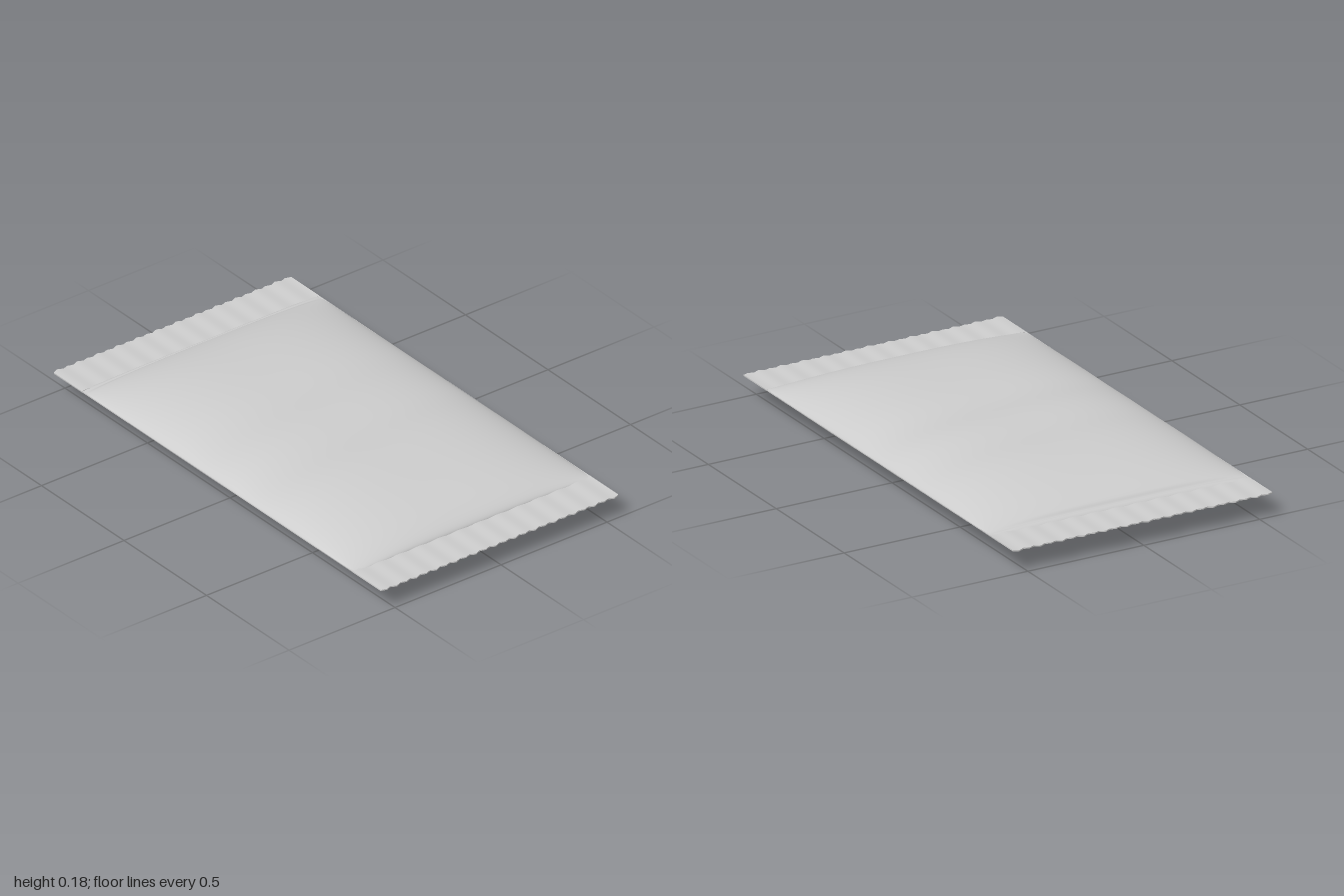
import * as THREE from 'three';

const HALF_W = 0.56, BODY = 0.83, MID = 0.097;
const bump = (v, centre, width) => Math.exp(-(((v - centre) / width) ** 2));

// Half thickness of the filled pouch at x, z
function puff(x, z) {
  const across = Math.max(0, 1 - Math.abs(x / HALF_W) ** 3) ** 0.7;
  const along = Math.max(0, 1 - Math.abs(z / BODY) ** 4) ** (z > 0 ? 0.6 : 0.75);
  const d = z + 0.12 * x; // wrinkles run slightly askew
  const dips = 0.013 * bump(d, 0.13, 0.12) + 0.009 * bump(d, -0.2, 0.12);
  const crease = 0.007 * bump(z, -0.805, 0.008);
  return Math.max(0, 0.094 * along - dips - crease) * across;
}

// One smooth, pillowed face of the pouch
function pouchFace(side) {
  const geo = new THREE.PlaneGeometry(2, 2, 64, 160);
  geo.rotateX(-side * Math.PI / 2);
  const p = geo.attributes.position;
  for (let i = 0; i < p.count; i++) {
    // cluster rows near the edges, where the curve is steep
    const x = HALF_W * Math.sin(p.getX(i) * Math.PI / 2);
    const z = BODY * Math.sin(p.getZ(i) * Math.PI / 2);
    p.setXYZ(i, x, MID + side * puff(x, z), z);
  }
  geo.computeVertexNormals();
  return geo;
}

// Flat crimped strip with a saw-tooth outer edge
function sealStrip(end) {
  const depth = 0.18, teeth = 24;
  const geo = new THREE.BoxGeometry(HALF_W * 2, 0.005, depth, teeth * 8, 1, 1);
  const p = geo.attributes.position;
  for (let i = 0; i < p.count; i++) {
    const x = p.getX(i), outer = p.getZ(i) * end > 0;
    const t = (x / (HALF_W * 2) + 0.5) * teeth;
    const notch = outer ? 0.009 * Math.abs(2 * (t - Math.floor(t)) - 1) : 0;
    const ripple = 0.0012 * Math.sin(t * Math.PI);
    p.setXYZ(i, x, MID + p.getY(i) + ripple, p.getZ(i) + end * (1 - depth / 2 - notch));
  }
  geo.computeVertexNormals();
  return geo;
}

export function createModel() {
  const group = new THREE.Group();
  group.name = 'sealedPacket';
  const foil = new THREE.MeshStandardMaterial({ color: 0xcccccc });
  foil.name = 'silver grey foil';
  foil.side = THREE.DoubleSide;

  const add = (name, geo) => {
    const mesh = new THREE.Mesh(geo, foil);
    mesh.name = name;
    group.add(mesh);
  };
  add('upperPouch', pouchFace(1));
  add('lowerPouch', pouchFace(-1));
  add('frontSeal', sealStrip(1));
  add('backSeal', sealStrip(-1));

  // Thin side seams joining the two faces
  for (const side of [1, -1]) {
    const seam = new THREE.BoxGeometry(0.008, 0.004, BODY * 2);
    seam.translate(side * (HALF_W - 0.004), MID, 0);
    add(side > 0 ? 'leftSeam' : 'rightSeam', seam);
  }
  return group;
}
